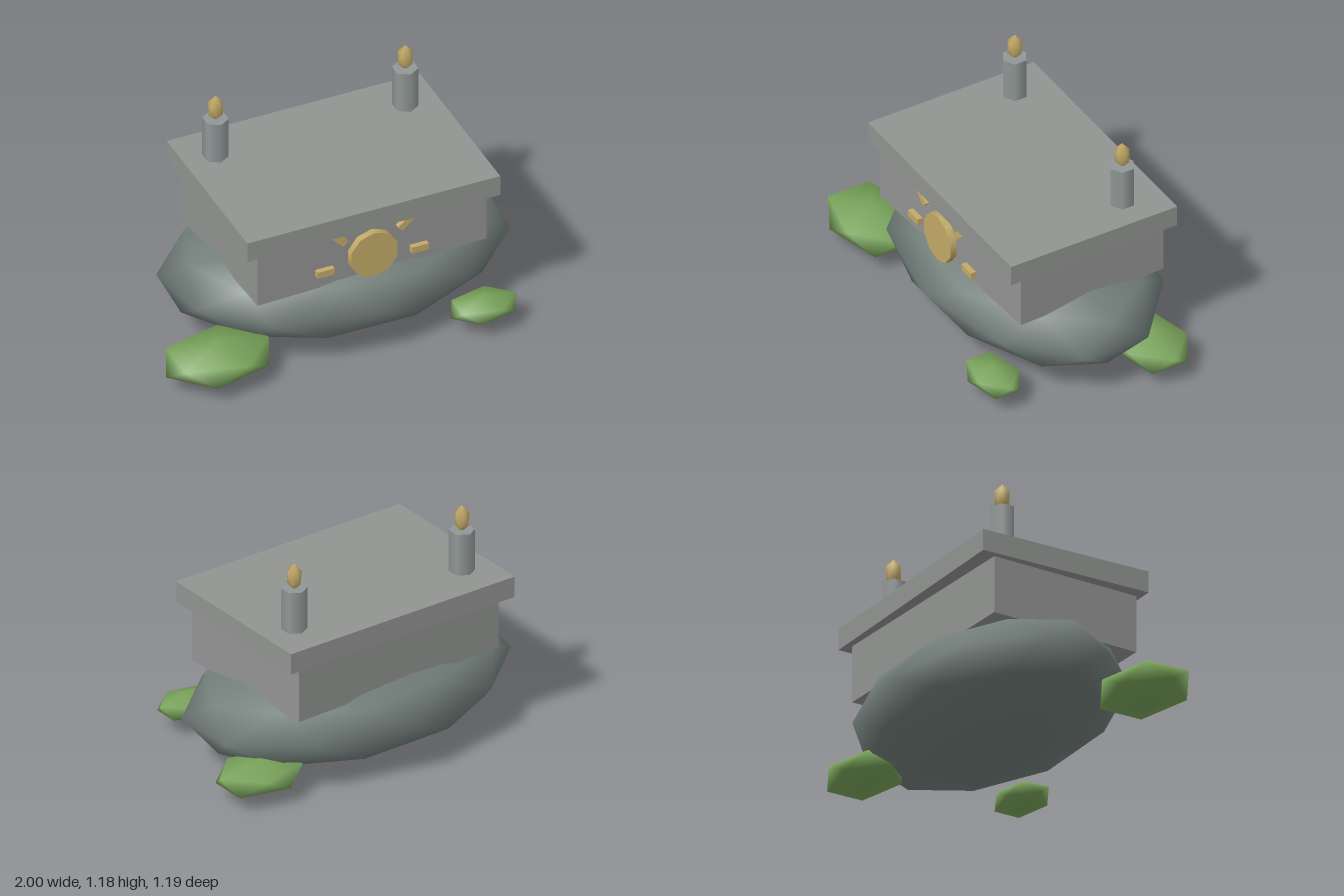
import * as THREE from 'three';
import { mergeVertices } from 'three/addons/utils/BufferGeometryUtils.js';

const mat = (name, color) => {
  const m = new THREE.MeshStandardMaterial({ color });
  m.name = name;
  return m;
};

// Smooth low-poly blob: an icosphere with a vertex at each y pole
function blob(detail, rx, ry, rz) {
  let g = new THREE.IcosahedronGeometry(1, detail);
  g.deleteAttribute('normal');
  g.deleteAttribute('uv');
  g = mergeVertices(g, 1e-3);
  g.rotateZ(-Math.atan(2 / (1 + Math.sqrt(5))));
  g.scale(rx, ry, rz);
  g.computeVertexNormals();
  return g;
}

export function createModel() {
  const group = new THREE.Group();
  group.name = 'altar';
  const stone = mat('pale stone', 0x929492);
  const pillar = mat('pillar stone', 0x909796);
  const rock = mat('dark rock', 0x717d79);
  const moss = mat('moss green', 0x78a25a);
  const gold = mat('gold', 0xc2a967);

  const add = (name, geometry, material, x, y, z) => {
    const m = new THREE.Mesh(geometry, material);
    m.name = name;
    m.position.set(x, y, z);
    group.add(m);
    return m;
  };

  // Rock mound, slightly worn in at the front right
  const mound = blob(1, 0.89, 0.277, 0.567);
  const p = mound.attributes.position;
  for (let i = 0; i < p.count; i++) {
    const x = p.getX(i);
    if (x < -0.6 && p.getZ(i) > 0.1) p.setX(i, x * 0.94);
    else if (x > 0.6) p.setX(i, x * 1.01);
  }
  mound.computeVertexNormals();
  add('rockBase', mound, rock, 0.05, 0.282, -0.028);

  // Moss clumps: centre, then radii
  [
    [-0.73, 0.142, 0.355, 0.302, 0.093, 0.22],
    [0.61, 0.13, 0.485, 0.19, 0.061, 0.13],
    [0.77, 0.131, -0.295, 0.258, 0.08, 0.188],
  ].forEach(([x, y, z, rx, ry, rz]) => add('mossClump', blob(0, rx, ry, rz), moss, x, y, z));

  // Altar block, turned a touch, and its top slab
  add('altarBlock', new THREE.BoxGeometry(1.226, 0.3, 0.816), stone, 0.048, 0.58, -0.012).rotation.y = 0.04;
  add('altarSlab', new THREE.BoxGeometry(1.33, 0.11, 0.926), stone, 0.05, 0.78, -0.015);

  // Candle pillars with flames
  for (const x of [-0.453, 0.545]) {
    add('candlePillar', new THREE.CylinderGeometry(0.064, 0.064, 0.22, 6), pillar, x, 0.945, -0.273);
    add('flame', blob(0, 0.041, 0.071, 0.041), gold, x, 1.115, -0.273);
  }

  // Sun disc with rays
  const disc = new THREE.CylinderGeometry(0.128, 0.128, 0.036, 10);
  disc.rotateX(Math.PI / 2);
  add('sunDisc', disc, gold, 0.048, 0.579, 0.442);
  for (const s of [-1, 1]) {
    const ray = () => new THREE.BoxGeometry(0.09, 0.035, 0.028);
    add('sideRay', ray(), gold, 0.048 + s * 0.248, 0.533, 0.433);
    add('upperRay', ray(), gold, 0.048 + s * 0.176, 0.708, 0.433).rotation.z = s * 0.75;
  }
  return group;
}
